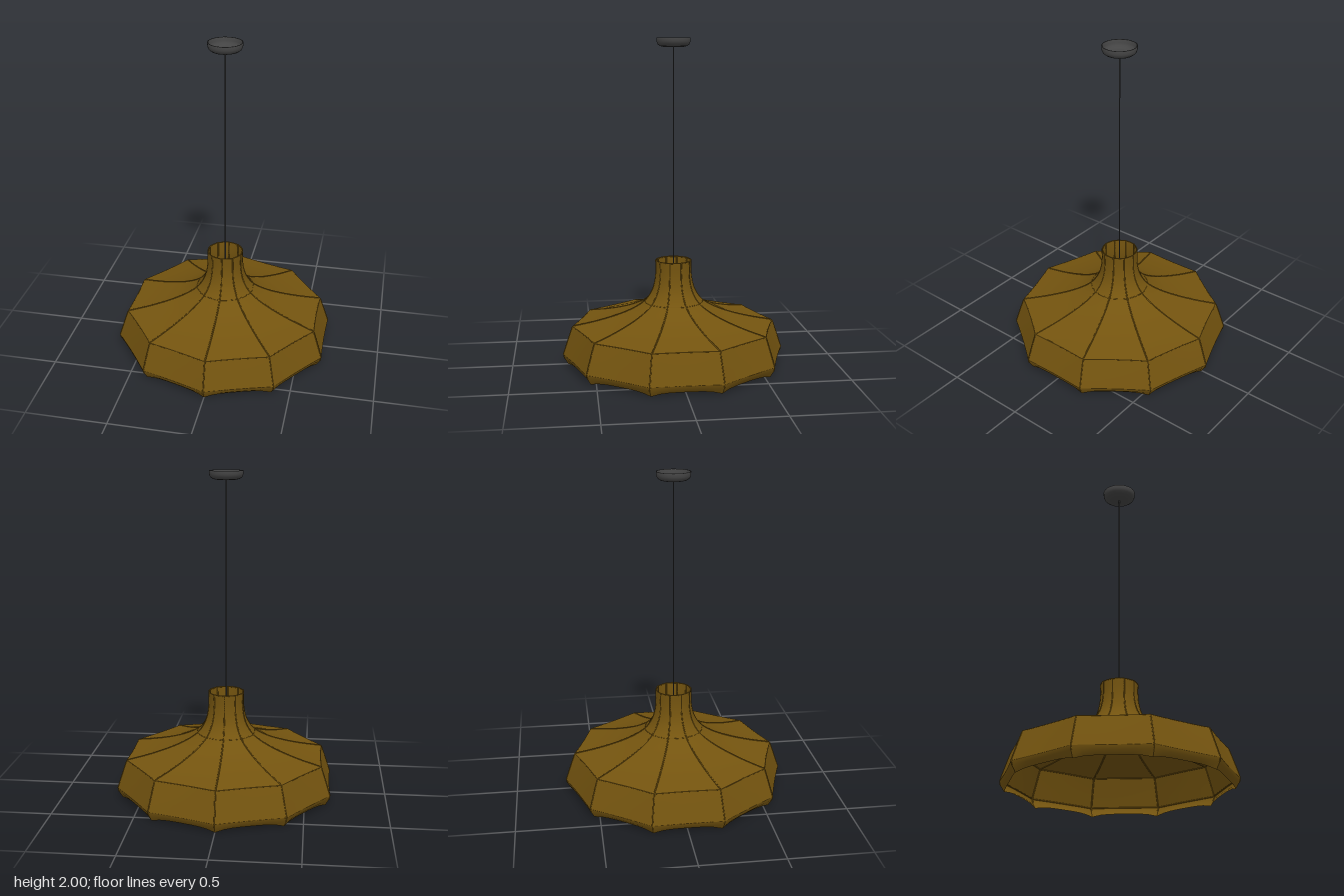
import * as THREE from 'three';

const SIDES = 10, STEP = (Math.PI * 2) / SIDES, COLS = 8;
const fabric = new THREE.MeshStandardMaterial({ color: 0x74540f, side: THREE.DoubleSide });
const dark = new THREE.MeshStandardMaterial({ color: 0x444444, side: THREE.DoubleSide });

// Corner profiles as (radius, height), top to bottom
const v2 = (pts) => pts.map(([r, y]) => new THREE.Vector2(r, y));
const crown = new THREE.SplineCurve(v2([
  [0.112, 0.645], [0.111, 0.57], [0.12, 0.5], [0.142, 0.44], [0.185, 0.385],
  [0.26, 0.34], [0.36, 0.302], [0.49, 0.267], [0.63, 0.24],
])).getPoints(28);
const skirt = v2([[0.63, 0.24], [0.651, 0.18], [0.671, 0.12], [0.69, 0.062]]);
const lip = v2([[0.69, 0.062], [0.683, 0.038], [0.66, 0.0]]);

// Point on the shade: panels are flat below, rounder at the neck, the hem sags and is scalloped
function shadePoint(p, side, u) {
  const a = (u - 0.5) * STEP;
  const flat = Math.cos(STEP / 2) / Math.cos(a);
  const round = 0.6 * (1 - THREE.MathUtils.smoothstep(p.x, 0.17, 0.32));
  const bow = 1 - (2 * u - 1) ** 2;
  const sag = 0.005 * THREE.MathUtils.smoothstep(p.x, 0.2, 0.6) * bow;
  const r = p.x * THREE.MathUtils.lerp(flat, 1, round) - sag;
  const scallop = 0.016 * (1 - (2 * u - 1) ** 4) * (1 - THREE.MathUtils.smoothstep(p.y, 0, 0.04));
  const angle = (side + u) * STEP;
  return new THREE.Vector3(r * Math.sin(angle), p.y + scallop, r * Math.cos(angle));
}

// One fabric panel between two ribs
function panel(profile, side) {
  const pos = [], index = [], w = COLS + 1;
  profile.forEach((p, i) => {
    for (let j = 0; j <= COLS; j++) {
      pos.push(...shadePoint(p, side, j / COLS).toArray());
      if (i && j) {
        const d = i * w + j, c = d - 1, b = d - w, a = b - 1;
        index.push(a, c, b, b, c, d);
      }
    }
  });
  const g = new THREE.BufferGeometry();
  g.setAttribute('position', new THREE.Float32BufferAttribute(pos, 3));
  g.setIndex(index);
  g.computeVertexNormals();
  return g;
}

function add(parent, name, geometry, material) {
  const mesh = new THREE.Mesh(geometry, material);
  mesh.name = name;
  parent.add(mesh);
  return mesh;
}

// Thin piping along a list of points
function piping(points, radius, closed = false) {
  const path = new THREE.CurvePath();
  for (let i = 1; i < points.length; i++) path.add(new THREE.LineCurve3(points[i - 1], points[i]));
  if (closed) path.add(new THREE.LineCurve3(points[points.length - 1], points[0]));
  return new THREE.TubeGeometry(path, points.length * 2, radius, 6, closed);
}

export function createModel() {
  const model = new THREE.Group();
  model.name = 'pendantLamp';

  // Shade panels and the rib on each corner
  const shade = new THREE.Group();
  shade.name = 'shade';
  model.add(shade);
  const inset = (p) => new THREE.Vector2(p.x - 0.002, p.y);
  for (let s = 0; s < SIDES; s++) {
    add(shade, 'crownPanel', panel(crown, s), fabric);
    add(shade, 'skirtPanel', panel(skirt, s), fabric);
    add(shade, 'lipPanel', panel(lip, s), fabric);
    const corner = [...crown, ...skirt.slice(1), ...lip.slice(1, 2)];
    add(shade, 'rib', piping(corner.map((p) => shadePoint(inset(p), s, 0)), 0.0045), fabric);
  }

  // Hoops: neck rim, neck base, shoulder and hem
  const hoops = [[0.112, 0.643, 0.004], [0.185, 0.385, 0.003], [0.63, 0.238, 0.0035], [0.688, 0.062, 0.004]];
  for (const [r, y, thick] of hoops) {
    const points = [];
    for (let s = 0; s < SIDES; s++)
      for (let j = 0; j < COLS; j++) points.push(shadePoint(new THREE.Vector2(r - 0.002, y), s, j / COLS));
    add(shade, 'hoop', piping(points, thick, true), fabric);
  }

  // Cord from the ceiling cup into the neck
  const cord = add(model, 'cord', new THREE.CylinderGeometry(0.004, 0.004, 1.45, 10), dark);
  cord.position.y = 1.225;

  // Ceiling cup: hollow bowl open at the top
  const cup = v2([
    [0, 1.945], [0.06, 1.946], [0.082, 1.951], [0.096, 1.962], [0.102, 1.978], [0.103, 2],
    [0.097, 2], [0.096, 1.98], [0.09, 1.967], [0.078, 1.957], [0.06, 1.952], [0, 1.951],
  ]);
  add(model, 'ceilingCup', new THREE.LatheGeometry(cup, 40), dark);

  return model;
}
